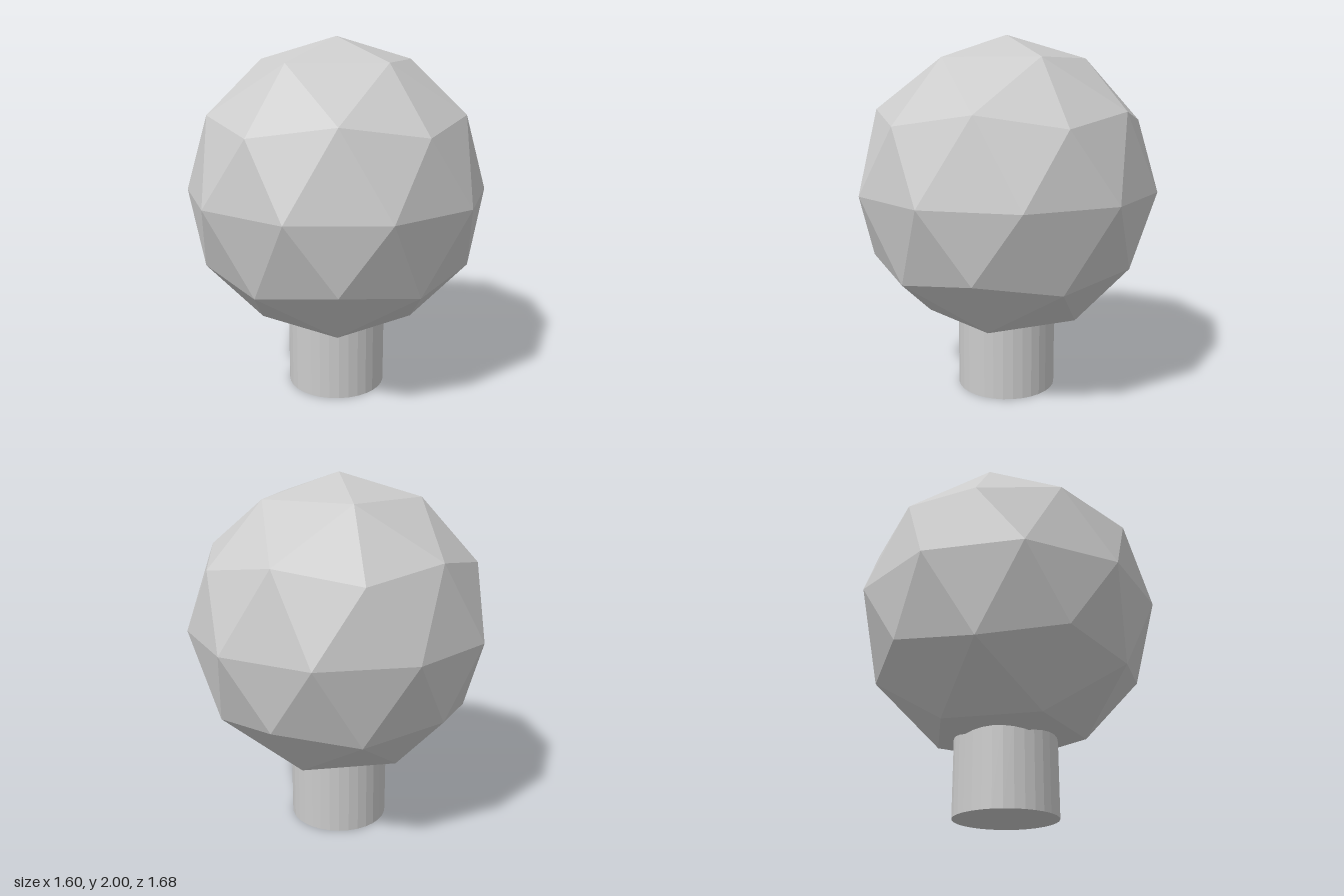
import * as THREE from 'three';

export function createModel() {
  const model = new THREE.Group();
  const material = new THREE.MeshStandardMaterial({ color: 0xcccccc, flatShading: true });

  const addPart = (name, geometry, y) => {
    const mesh = new THREE.Mesh(geometry, material);
    mesh.name = name;
    mesh.position.y = y;
    model.add(mesh);
  };

  // Faceted ball, turned so that one corner of the icosahedron points straight up
  const goldenRatio = (1 + Math.sqrt(5)) / 2;
  const ball = new THREE.IcosahedronGeometry(0.84, 1);
  ball.rotateZ(-Math.atan(1 / goldenRatio));
  addPart('ball', ball, 1.16);

  // Short round stem, its top sunk into the ball
  const stemHeight = 0.48;
  addPart('stem', new THREE.CylinderGeometry(0.28, 0.28, stemHeight, 32), stemHeight / 2);

  return model;
}
